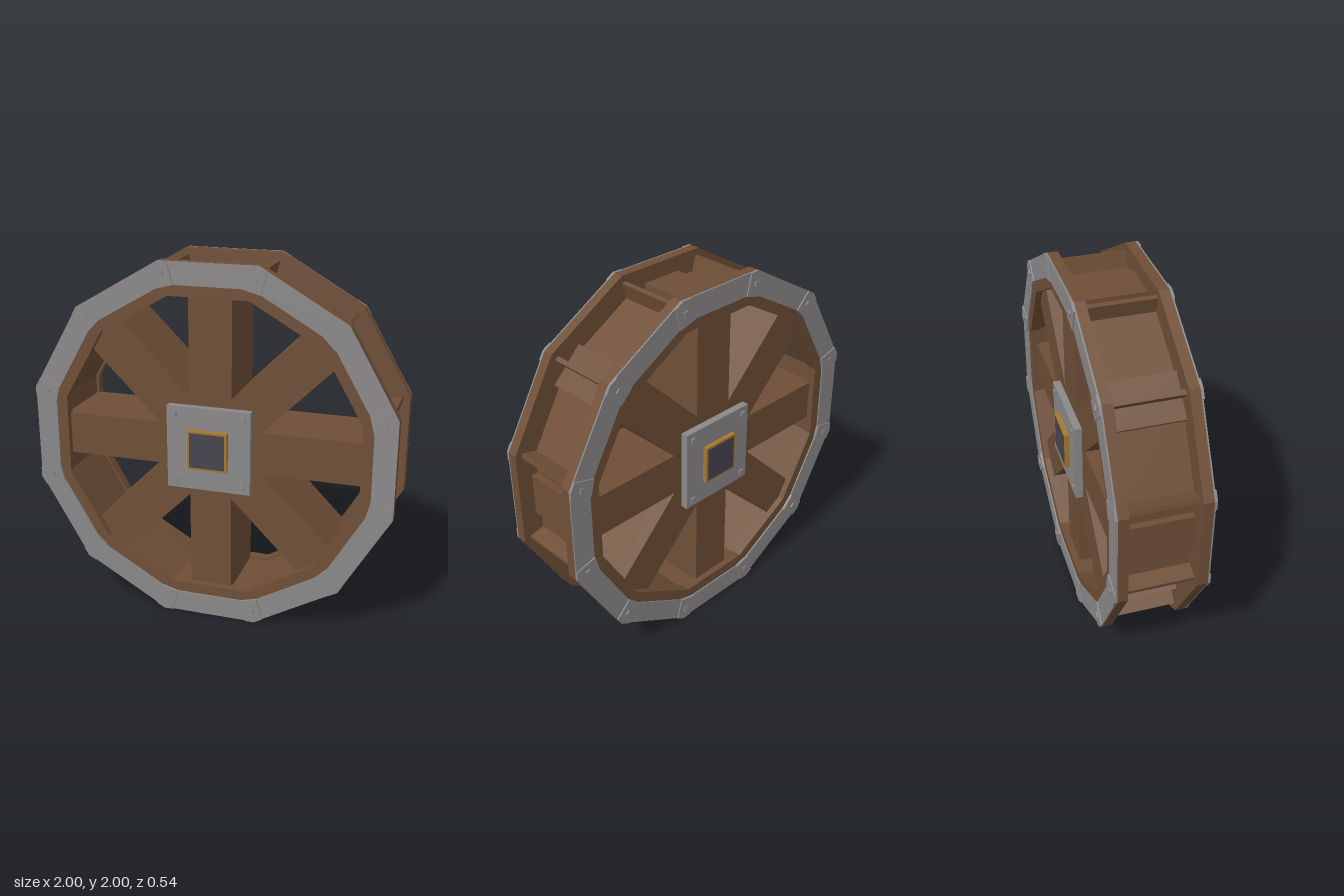
import * as THREE from 'three';

const wood = new THREE.MeshStandardMaterial({ color: 0x6f4f37 });
wood.name = 'wood';
const iron = new THREE.MeshStandardMaterial({ color: 0x8b8989 });
iron.name = 'iron';
const brass = new THREE.MeshStandardMaterial({ color: 0xa8782f });
brass.name = 'brass';
const axleMetal = new THREE.MeshStandardMaterial({ color: 0x464550 });
axleMetal.name = 'axleMetal';

const SIDES = 12;
const STEP = Math.PI * 2 / SIDES;

// Corners of a regular polygon given the distance to its flats
const polygon = (apothem) => Array.from({ length: SIDES }, (_, i) => {
  const a = (i + 0.5) * STEP, r = apothem / Math.cos(STEP / 2);
  return new THREE.Vector2(r * Math.cos(a), r * Math.sin(a));
});

// Extrudes an outline, with an optional hole, between two z values
function slab(points, hole, z0, z1) {
  const shape = new THREE.Shape(points);
  if (hole) shape.holes.push(new THREE.Path(hole));
  const geo = new THREE.ExtrudeGeometry(shape, { depth: z1 - z0, bevelEnabled: false });
  return geo.translate(0, 0, z0);
}

const square = (h) => [[-h, -h], [h, -h], [h, h], [-h, h]].map(([x, y]) => new THREE.Vector2(x, y));

function add(parent, name, geo, mat, angle = 0) {
  const mesh = new THREE.Mesh(geo, mat);
  mesh.name = name;
  mesh.rotation.z = angle;
  parent.add(mesh);
  return mesh;
}

// Rim, iron band, corner brackets and hub plate of one face
function createFace() {
  const face = new THREE.Group();
  add(face, 'woodRim', slab(polygon(1), polygon(0.82), 0.18, 0.235), wood);
  add(face, 'ironBand', slab(polygon(1), polygon(0.88), 0.235, 0.243), iron);

  // Bracket follows the rim's corner, bolted in its middle
  const w = 0.05, tip = 1 / Math.cos(STEP / 2), shoulder = tip - w * Math.tan(STEP / 2);
  const outline = [[0.898, -w], [shoulder, -w], [tip, 0], [shoulder, w], [0.898, w]]
    .map(([x, y]) => new THREE.Vector2(x, y));
  const bracket = slab(outline, null, 0.235, 0.25);
  const rimBolt = new THREE.BoxGeometry(0.028, 0.028, 0.012).translate(0.965, 0, 0.251);
  for (let i = 0; i < SIDES; i++) {
    const a = (i + 0.5) * STEP;
    add(face, 'cornerBracket', bracket, iron, a);
    add(face, 'rimBolt', rimBolt, iron, a);
  }

  // Hub plate with its bolts and the framed axle end
  add(face, 'hubPlate', slab(square(0.233), null, 0.195, 0.24), iron);
  for (const x of [-0.19, 0.19]) for (const y of [-0.19, 0.19]) {
    add(face, 'hubBolt', new THREE.BoxGeometry(0.026, 0.026, 0.014).translate(x, y, 0.243), iron);
  }
  add(face, 'axleFrame', slab(square(0.11), square(0.098), 0.235, 0.266), brass);
  add(face, 'axleEnd', slab(square(0.098), null, 0.235, 0.268), axleMetal);
  return face;
}

export function createModel() {
  const model = new THREE.Group();
  model.name = 'waterWheel';
  const wheel = new THREE.Group();
  wheel.name = 'wheel';
  wheel.position.y = 1;
  model.add(wheel);

  // Two matching faces
  const front = createFace();
  front.name = 'frontFace';
  const back = createFace();
  back.name = 'backFace';
  back.rotation.y = Math.PI;
  wheel.add(front, back);

  // Drum floor between the rims
  add(wheel, 'drum', slab(polygon(0.88), polygon(0.835), -0.19, 0.19), wood);

  // Four beams crossing at the hub make eight spokes
  const beam = new THREE.BoxGeometry(1.83, 0.236, 0.4);
  for (let i = 0; i < 4; i++) add(wheel, 'spokeBeam', beam, wood, i * Math.PI / 4);

  // Paddles standing on every corner of the drum
  const paddle = new THREE.BoxGeometry(0.115, 0.025, 0.37).translate(0.938, 0, 0);
  for (let i = 0; i < SIDES; i++) add(wheel, 'paddle', paddle, wood, (i + 0.5) * STEP);

  return model;
}
